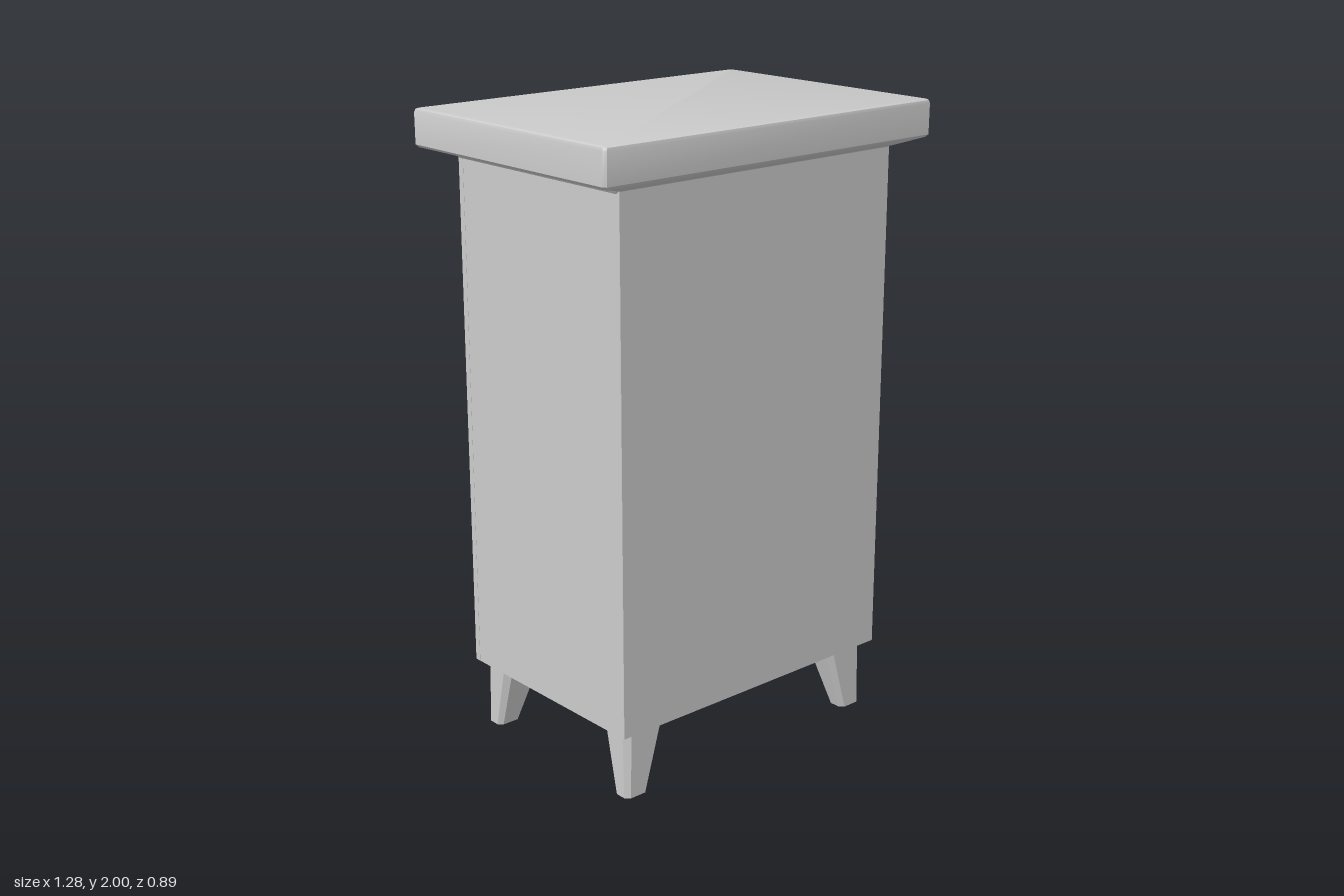
import * as THREE from 'three';
import { toCreasedNormals } from 'three/addons/utils/BufferGeometryUtils.js';

const material = new THREE.MeshStandardMaterial({ color: 0xcccccc });

// Rectangle with clipped corners at height y, counterclockwise from above
function rect(x0, x1, z0, z1, y, c = 0.001) {
  return [
    [x0 + c, z1], [x1 - c, z1], [x1, z1 - c], [x1, z0 + c],
    [x1 - c, z0], [x0 + c, z0], [x0, z0 + c], [x0, z1 - c],
  ].map(([x, z]) => [x, y, z]);
}

// Skin over a stack of rings, closed at both ends
function loft(rings, crease = 0.6) {
  const pos = [];
  const tri = (a, b, c) => pos.push(...a, ...b, ...c);
  for (let r = 0; r < rings.length - 1; r++) {
    const a = rings[r], b = rings[r + 1], n = a.length;
    for (let i = 0; i < n; i++) {
      const j = (i + 1) % n;
      tri(a[i], a[j], b[j]);
      tri(a[i], b[j], b[i]);
    }
  }
  const first = rings[0], last = rings[rings.length - 1];
  for (let i = 1; i < first.length - 1; i++) {
    tri(first[0], first[i + 1], first[i]);
    tri(last[0], last[i], last[i + 1]);
  }
  const geo = new THREE.BufferGeometry();
  geo.setAttribute('position', new THREE.Float32BufferAttribute(pos, 3));
  return toCreasedNormals(geo, crease);
}

function addMesh(parent, name, geometry) {
  const mesh = new THREE.Mesh(geometry, material);
  mesh.name = name;
  parent.add(mesh);
  return mesh;
}

// Bottom and top of each drawer panel, and height of its handle
const drawers = [
  { y0: 1.32, y1: 1.75, handleY: 1.69 },
  { y0: 0.84, y1: 1.165, handleY: 1.107 },
  { y0: 0.42, y1: 0.69, handleY: 0.615 },
];
const panelX = 0.41;

// Drawer panel: bevelled rim, flat frame, sloped recess
function panelGeometry(y0, y1) {
  const ring = (inset, out) =>
    rect(-panelX + inset, panelX - inset, y0 + inset, y1 - inset, out);
  const geo = loft([
    ring(0, 0.36), ring(0, 0.373), ring(0.02, 0.385),
    ring(0.085, 0.386), ring(0.125, 0.352),
  ]);
  return geo.rotateX(-Math.PI / 2);
}

// Arched pull that thins toward its two ends
function handleGeometry() {
  const geo = new THREE.TorusGeometry(0.08, 0.02, 12, 28, Math.PI);
  geo.rotateX(-Math.PI / 2);
  const p = geo.attributes.position;
  for (let i = 0; i < p.count; i++) {
    const reach = Math.min(1, Math.max(0, -p.getZ(i) / 0.08));
    p.setY(i, p.getY(i) * (0.85 + 0.75 * reach));
    p.setZ(i, p.getZ(i) * 0.9);
  }
  geo.computeVertexNormals();
  return geo;
}

export function createModel() {
  const group = new THREE.Group();
  group.name = 'drawerCabinet';

  // Cabinet body and the face plate with drawer openings
  addMesh(group, 'body', loft([
    rect(-0.533, 0.533, -0.349, 0.375, 0.22),
    rect(-0.533, 0.533, -0.349, 0.375, 1.87),
  ]));
  const plate = new THREE.Shape([
    [-0.533, 0.22], [0.533, 0.22], [0.533, 1.87], [-0.533, 1.87],
  ].map(([x, y]) => new THREE.Vector2(x, y)));
  for (const { y0, y1 } of drawers) {
    const x = panelX - 0.02, a = y0 + 0.02, b = y1 - 0.02;
    plate.holes.push(new THREE.Path([
      [-x, a], [-x, b], [x, b], [x, a],
    ].map(([px, py]) => new THREE.Vector2(px, py))));
  }
  const plateGeo = new THREE.ExtrudeGeometry(plate, { depth: 0.021, bevelEnabled: false });
  addMesh(group, 'drawerFacePlate', plateGeo.translate(0, 0, -0.37));

  // Table top with flared underside and softened edges
  const topProfile = [
    [0.53, 0.368, 1.845], [0.538, 0.376, 1.86], [0.555, 0.39, 1.865],
    [0.632, 0.437, 1.885], [0.639, 0.444, 1.893], [0.639, 0.445, 1.988],
    [0.636, 0.442, 1.997], [0.629, 0.435, 2],
  ];
  addMesh(group, 'top', loft(topProfile.map(([x, z, y]) => rect(-x, x, -z, z, y, 0.008)), 0.7));

  // Tapered legs, straight on the outer faces
  for (const sx of [-1, 1]) {
    for (const sz of [-1, 1]) {
      const leg = (innerX, innerZ, y, c) => {
        const xs = [sx * innerX, sx * 0.505].sort((a, b) => a - b);
        const zs = [sz * innerZ, sz * 0.353].sort((a, b) => a - b);
        return rect(...xs, ...zs, y, c);
      };
      addMesh(group, 'leg', loft([leg(0.42, 0.29, 0, 0.014), leg(0.35, 0.235, 0.225, 0.02)], 0.3));
    }
  }

  // Drawers with their handles
  for (const { y0, y1, handleY } of drawers) {
    const drawer = new THREE.Group();
    drawer.name = 'drawer';
    addMesh(drawer, 'drawerPanel', panelGeometry(y0, y1));
    addMesh(drawer, 'handle', handleGeometry()).position.set(0, handleY, -0.359);
    group.add(drawer);
  }
  return group;
}
